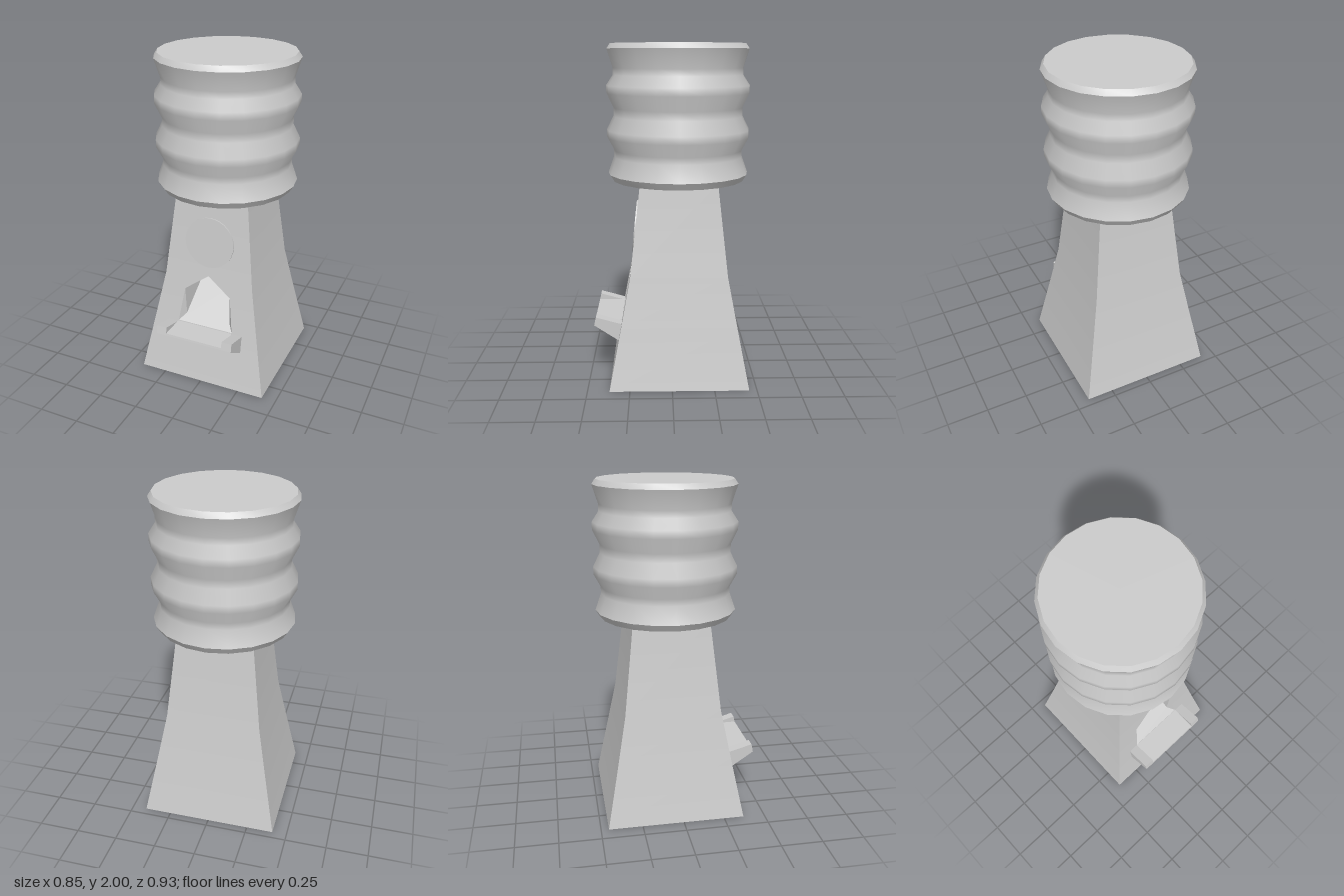
import * as THREE from 'three';
import { mergeGeometries, toCreasedNormals } from 'three/addons/utils/BufferGeometryUtils.js';

const CZ = -0.042; // body and jar axis
const LEVELS = [[0, 0.412], [0.365, 0.342], [0.66, 0.287], [1.21, 0.226]]; // height, half width

// half width of the flared body at height y
function half(y) {
  let i = 0;
  while (i < LEVELS.length - 2 && y > LEVELS[i + 1][0]) i++;
  const [y0, h0] = LEVELS[i], [y1, h1] = LEVELS[i + 1];
  return h0 + (h1 - h0) * (y - y0) / (y1 - y0);
}

// flat outline laid on the front wall of the body, shaded as one smooth curve
function panel(points) {
  const g = new THREE.ShapeGeometry(new THREE.Shape(points.map(p => new THREE.Vector2(...p))));
  const pos = g.attributes.position, nor = g.attributes.normal;
  for (let i = 0; i < pos.count; i++) {
    const y = pos.getY(i);
    pos.setZ(i, half(y));
    const n = new THREE.Vector3(0, 0.2 - 0.08 * y, 1).normalize();
    nor.setXYZ(i, n.x, n.y, n.z);
  }
  return g;
}

// full-width band between two levels
function band(i) {
  const [y0, h0] = LEVELS[i], [y1, h1] = LEVELS[i + 1];
  return panel([[-h0, y0], [h0, y0], [h1, y1], [-h1, y1]]);
}

// flat convex faces given as corner lists
function faces(list) {
  const out = [];
  for (const f of list)
    for (let i = 1; i < f.length - 1; i++) out.push(...f[0], ...f[i], ...f[i + 1]);
  const g = new THREE.BufferGeometry();
  g.setAttribute('position', new THREE.Float32BufferAttribute(out, 3));
  g.computeVertexNormals();
  return g;
}

// (z, y) profile extruded along x
function sideExtrude(profile, width) {
  const g = new THREE.ExtrudeGeometry(new THREE.Shape(profile.map(p => new THREE.Vector2(...p))),
    { depth: width, bevelEnabled: false });
  return g.translate(0, 0, -width / 2).rotateY(-Math.PI / 2);
}

export function createModel() {
  const model = new THREE.Group();
  const grey = new THREE.MeshStandardMaterial({ color: 0xcccccc });
  const greyDouble = new THREE.MeshStandardMaterial({ color: 0xcccccc, side: THREE.DoubleSide });
  const add = (name, geometry, material = grey) => {
    const m = new THREE.Mesh(geometry, material);
    m.name = name;
    model.add(m);
    return m;
  };

  // flared square body, the front wall cut open for the chute
  const walls = [];
  for (let side = 1; side < 4; side++)
    for (let i = 0; i < 3; i++) walls.push(band(i).rotateY(side * Math.PI / 2));
  const [, [yb, hb], [ym, hm], [yt, ht]] = LEVELS;
  const slit = 0.041; // half width of the opening at level ym
  walls.push(band(0));
  for (const s of [-1, 1])
    walls.push(panel([[s * hb, yb], [s * hm, ym], [s * slit, ym], [s * 0.15, 0.58], [s * 0.18, yb]]));
  walls.push(panel([[-hm, ym], [-slit, ym], [0, 0.69], [slit, ym], [hm, ym], [ht, yt], [-ht, yt]]));
  const base = new THREE.PlaneGeometry(0.824, 0.824).rotateX(Math.PI / 2);
  add('body', mergeGeometries([...walls, base])).position.z = CZ;

  // chute recess: a ramp rising backwards, two side walls and a pointed roof
  const rampZ = y => 0.30 - (y - 0.365) / 0.75;
  const mouth = (x, y) => [x, y, half(y) + CZ];
  const deep = (x, y) => [x, y, rampZ(y)];
  const peak = mouth(0, 0.69), peakDeep = deep(0, 0.69);
  const chute = [[deep(-0.18, 0.365), deep(0.18, 0.365), deep(0.145, 0.40),
    deep(0.135, 0.58), peakDeep, deep(-0.135, 0.58), deep(-0.145, 0.40)]];
  for (const s of [-1, 1]) {
    chute.push([mouth(s * 0.15, 0.58), mouth(s * 0.18, 0.365), deep(s * 0.145, 0.40), deep(s * 0.135, 0.58)]);
    chute.push([mouth(s * 0.15, 0.58), deep(s * 0.135, 0.58), peakDeep, peak]);
  }
  add('chute', faces(chute), greyDouble);

  // tray: low floor with a raised cheek on each side
  add('trayFloor', sideExtrude([[0.27, 0.27], [0.31, 0.245], [0.466, 0.35], [0.463, 0.363], [0.29, 0.36]], 0.366));
  for (const s of [-1, 1])
    add(s > 0 ? 'leftTrayCheek' : 'rightTrayCheek',
      sideExtrude([[0.25, 0.29], [0.31, 0.245], [0.466, 0.35], [0.455, 0.40], [0.26, 0.345]], 0.064)
        .translate(s * 0.215, 0, 0));

  // round plate on the front wall
  const disc = add('frontDisc', toCreasedNormals(new THREE.CylinderGeometry(0.157, 0.157, 0.02, 32), 0.6));
  disc.position.set(0, 0.905, half(0.905) + CZ - 0.003);
  disc.rotation.x = Math.PI / 2 - 0.1;

  // ribbed jar
  const profile = [[0, 1.195], [0.395, 1.2], [0.42, 1.24], [0.385, 1.34], [0.385, 1.38],
    [0.425, 1.455], [0.425, 1.5], [0.385, 1.58], [0.385, 1.63], [0.425, 1.715], [0.425, 1.76],
    [0.385, 1.82], [0.385, 1.86], [0.42, 1.97], [0.4, 2], [0, 2]];
  const jar = new THREE.LatheGeometry(profile.map(p => new THREE.Vector2(...p)), 20);
  add('jar', toCreasedNormals(jar, 0.75)).position.z = CZ;

  return model;
}
